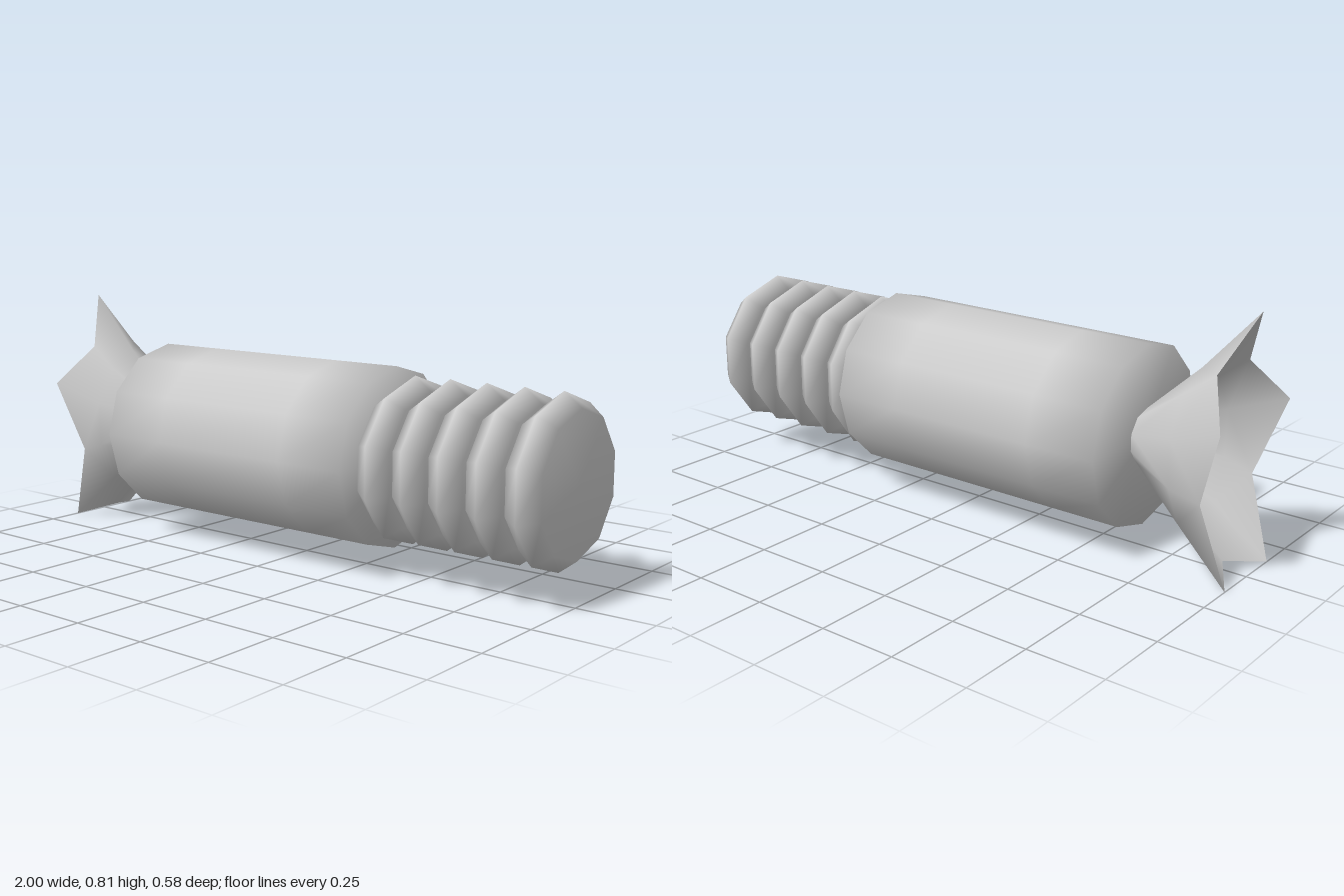
import * as THREE from 'three';

const AXIS_Y = 0.365;

// Solid of revolution lying along x; profile is [radius, x] pairs
function turned(name, profile, sides, material) {
  const points = profile.map(([r, x]) => new THREE.Vector2(r, x));
  const geometry = new THREE.LatheGeometry(points, sides, Math.PI / 2);
  geometry.rotateZ(-Math.PI / 2);
  const mesh = new THREE.Mesh(geometry, material);
  mesh.name = name;
  mesh.position.y = AXIS_Y;
  return mesh;
}

// Flared tail: ten-sided rings that flatten in z and end in a five-pointed star
function flaredTail(material) {
  const rings = [
    { x: [-0.64, -0.64], r: [0.087, 0.087], flat: 1 },
    { x: [-0.82, -0.82], r: [0.25, 0.243], flat: 0.72 },
    { x: [-1, -0.92], r: [0.445, 0.332], flat: 0.5 },
  ];
  const sides = 10, positions = [], index = [];
  rings.forEach(({ x, r, flat }, i) => {
    for (let j = 0; j < sides; j++) {
      const t = (j / sides) * Math.PI * 2;
      const k = j % 2; // 0 = star point, 1 = notch
      positions.push(x[k], r[k] * Math.cos(t), r[k] * Math.sin(t) * flat);
      if (i === rings.length - 1) continue;
      const a = i * sides + j, b = i * sides + ((j + 1) % sides);
      // Split each quad alike on both sides of a star point
      if (k === 0) index.push(a, a + sides, b + sides, a, b + sides, b);
      else index.push(a, a + sides, b, b, a + sides, b + sides);
    }
  });
  const geometry = new THREE.BufferGeometry();
  geometry.setAttribute('position', new THREE.Float32BufferAttribute(positions, 3));
  geometry.setIndex(index);
  geometry.computeVertexNormals();
  const mesh = new THREE.Mesh(geometry, material);
  mesh.name = 'flaredTail';
  mesh.position.y = AXIS_Y;
  return mesh;
}

export function createModel() {
  const group = new THREE.Group();
  const grey = new THREE.MeshStandardMaterial({ color: 0xcccccc });
  const thin = new THREE.MeshStandardMaterial({ color: 0xcccccc, side: THREE.DoubleSide });

  // Twelve-sided main barrel
  const R = 0.289;
  group.add(turned('barrel', [[0, -0.64], [R, -0.64], [R, -0.4], [R, 0.12], [R, 0.36], [0, 0.36]], 12, grey));

  // Row of ridged discs at the nose
  const half = 0.058;
  for (let i = 0; i < 5; i++) {
    const disc = turned('noseRing' + (i + 1), [[0, -half], [0.222, -half], [0.266, 0], [0.222, half], [0, half]], 10, grey);
    disc.position.x = 0.942 - i * 0.128;
    group.add(disc);
  }

  // Short core joining the discs to the barrel
  group.add(turned('noseCore', [[0, 0.35], [0.12, 0.35], [0.12, 0.95], [0, 0.95]], 10, grey));

  group.add(flaredTail(thin));
  return group;
}
